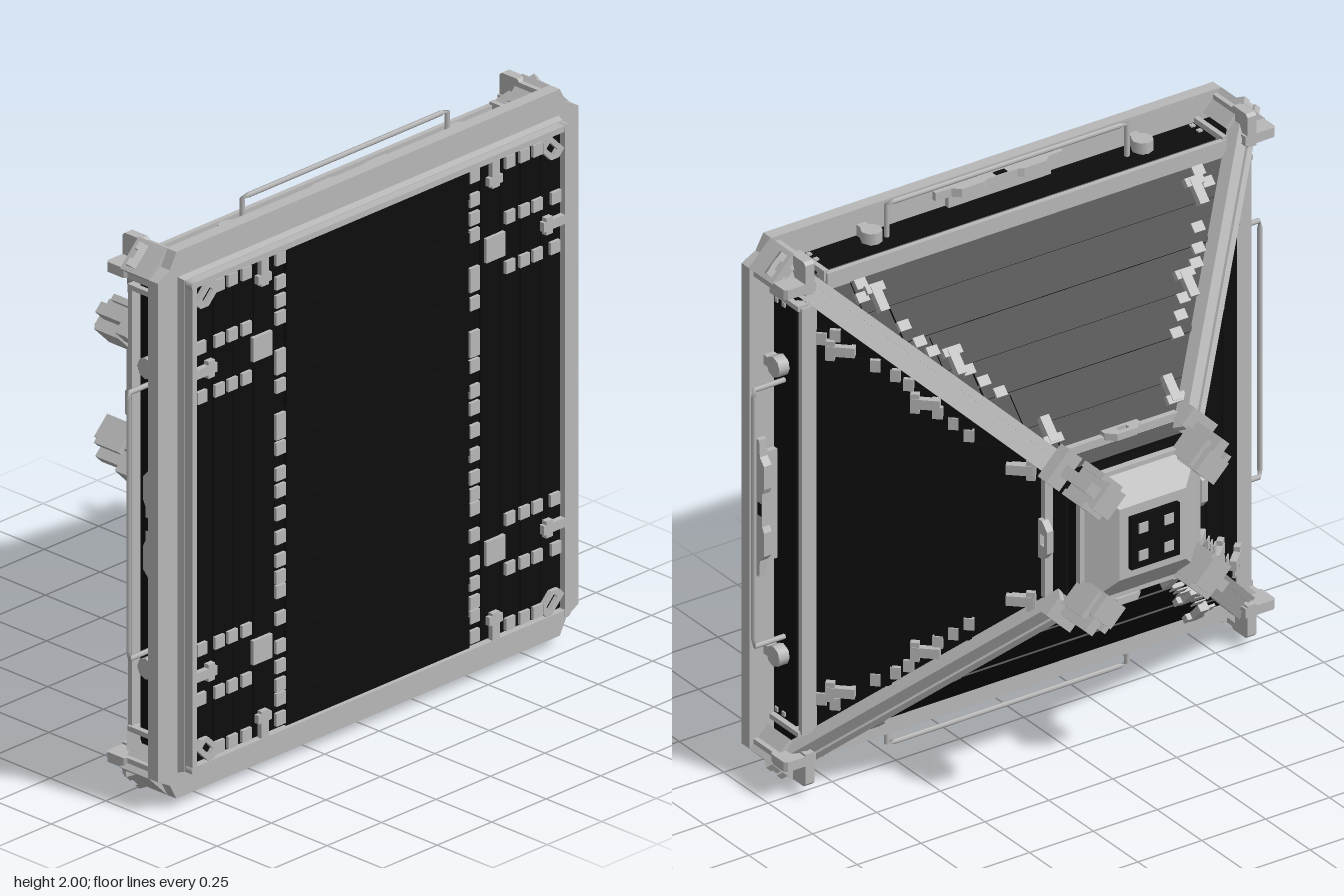
import * as THREE from 'three';

const grey = new THREE.MeshStandardMaterial({ color: 0xb8b8b8 });
grey.name = 'lightGrey';
const black = new THREE.MeshStandardMaterial({ color: 0x0d0d0d });
black.name = 'black';

function add(parent, name, geo, mat, x = 0, y = 0, z = 0) {
  const m = new THREE.Mesh(geo, mat);
  m.name = name;
  m.position.set(x, y, z);
  parent.add(m);
  return m;
}
const box = (w, h, d) => new THREE.BoxGeometry(w, h, d);

// Square frustum along z, half widths at the back and front
function frustum(hBack, hFront, zBack, zFront) {
  const g = new THREE.CylinderGeometry(hFront * Math.SQRT2, hBack * Math.SQRT2, zFront - zBack, 4)
    .rotateY(Math.PI / 4).rotateX(Math.PI / 2).translate(0, 0, (zBack + zFront) / 2).toNonIndexed();
  g.computeVertexNormals();
  return g;
}
// Flat plate cut from an outline, with an optional hole
function plate(points, depth, hole) {
  const s = new THREE.Shape(points.map(p => new THREE.Vector2(...p)));
  if (hole) s.holes.push(new THREE.Path(hole.map(p => new THREE.Vector2(...p))));
  return new THREE.ExtrudeGeometry(s, { depth, bevelEnabled: false });
}
const square = h => [[-h, -h], [h, -h], [h, h], [-h, h]];
const mirrored = half => [...half, ...half.slice().reverse().map(([x, y]) => [-x, y])];

function rod(points, r) {
  const path = new THREE.CurvePath();
  const v = points.map(p => new THREE.Vector3(...p));
  for (let i = 1; i < v.length; i++) path.add(new THREE.LineCurve3(v[i - 1], v[i]));
  return new THREE.TubeGeometry(path, 40, r, 6);
}

const slopeHalf = z => 0.57 + 1.05 * z;   // half width of the pyramid at depth z
const tilt = -Math.atan(1.05);
const onSlope = (parent, name, geo, mat, x, z) => {
  const m = add(parent, name, geo, mat, x, slopeHalf(z), z);
  m.rotation.x = tilt;
  return m;
};

// One of four sides, built facing +y
function makeSide() {
  const g = new THREE.Group();
  g.name = 'side';
  add(g, 'frontFlange', plate(mirrored([[0.85, 0.84], [0.91, 0.91], [0.88, 0.965]]), 0.045), grey, 0, 0, 0.405);

  // Slatted sloping panel
  for (let i = 0; i < 6; i++) {
    const z = 0.2 - i * 0.09;
    onSlope(g, 'slopeSlat', box(2 * (slopeHalf(z) - 0.09), i % 2 ? 0.02 : 0.012, 0.122), black, 0, z);
  }
  // Side wall fittings
  add(g, 'handle', rod([[-0.47, 0.87, 0.345], [-0.47, 0.99, 0.345], [0.47, 0.99, 0.345], [0.47, 0.87, 0.345]], 0.009), grey);
  add(g, 'wallRail', box(1.56, 0.06, 0.018), grey, 0, 0.85, 0.242);
  const latch = plate(mirrored([[0.25, 0], [0.25, 0.018], [0.19, 0.022], [0.165, 0.045], [0.08, 0.045], [0.06, 0.035]]), 0.03);
  add(g, 'wallLatch', latch, grey, 0, 0.91, 0.405).rotation.x = -Math.PI / 2;
  add(g, 'wallLatchHole', box(0.045, 0.008, 0.02), black, 0, 0.938, 0.383);
  add(g, 'latchBase', box(0.4, 0.05, 0.02), grey, 0, 0.89, 0.395);

  // Collar around the narrow end
  add(g, 'collarBar', box(0.44, 0.03, 0.022), grey, 0, 0.285, -0.29);
  const hex = plate(mirrored([[0.07, -0.022], [0.07, 0], [0.04, 0.028]]), 0.025, [[-0.02, -0.01], [0.02, -0.01], [0.02, 0.01], [-0.02, 0.01]]);
  add(g, 'collarLatch', hex, grey, 0, 0.29, -0.305).rotation.x = -Math.PI / 2;

  for (const s of [-1, 1]) {
    add(g, 'railEnd', box(0.018, 0.04, 0.16), grey, s * 0.78, 0.87, 0.32);
    add(g, 'wallKnob', box(0.035, 0.04, 0.09), grey, s * 0.53, 0.89, 0.365);
    add(g, 'wallKnobHead', new THREE.CylinderGeometry(0.037, 0.037, 0.04, 8), grey, s * 0.53, 0.895, 0.345);
    for (const z of [0.34, 0.38]) add(g, 'wallMark', box(0.016, 0.006, 0.016), grey, s * 0.75, 0.877, z);

    // Corner fin
    const fin = plate([[0.21, 0.84], [0.41, 0.84], [0.41, 0.95], [0.3, 0.95], [0.29, 0.96], [0.22, 0.96], [0.21, 0.95]], 0.035);
    const f = add(g, 'cornerFin', fin, grey, s * 0.865 + 0.0175, 0, 0);
    f.rotation.y = -Math.PI / 2;

    // Clamps and marks along the sloping edges
    for (const [x, z] of [[0.24, -0.22], [0.455, -0.01], [0.625, 0.18]]) {
      onSlope(g, 'slopeClampStem', box(0.035, 0.06, 0.09), grey, s * x, z);
      onSlope(g, 'slopeClampFoot', box(0.07, 0.055, 0.03), grey, s * x, z + (z < -0.1 ? -0.025 : 0.025));
    }
    for (const [x, z] of [[0.345, -0.105], [0.385, -0.07], [0.42, -0.035], [0.515, 0.03], [0.545, 0.06], [0.575, 0.105], [0.675, 0.195], [0.66, 0.225]])
      onSlope(g, 'slopeMark', box(0.043, 0.03, 0.034), grey, s * x, z);
  }
  return g;
}

// Double beam along one sloping corner edge, with its end fittings
function makeCorner() {
  const g = new THREE.Group();
  g.name = 'corner';
  const diag = z => (slopeHalf(z) + 0.01) * Math.SQRT2;
  const z0 = -0.33, z1 = 0.33;
  const dy = diag(z1) - diag(z0), len = Math.hypot(dy, z1 - z0), ang = -Math.atan2(dy, z1 - z0);
  for (const s of [-1, 1]) {
    add(g, 'edgeBeam', box(0.026, 0.05, len), grey, s * 0.03, (diag(z0) + diag(z1)) / 2, 0).rotation.x = ang;
  }
  add(g, 'beamCore', box(0.045, 0.03, len), grey, 0, (diag(z0) + diag(z1)) / 2, 0).rotation.x = ang;
  add(g, 'beamFoot', box(0.12, 0.1, 0.13), grey, 0, 1.255, 0.345);
  add(g, 'beamHead', box(0.13, 0.07, 0.05), grey, 0, 0.375, -0.335);
  add(g, 'dockArm', box(0.04, 0.06, 0.2), grey, 0, 0.35, -0.4);
  add(g, 'dockBracket', box(0.1, 0.085, 0.15), grey, 0, 0.285, -0.445);
  for (const s of [-1, 1]) add(g, 'bracketCheek', box(0.022, 0.1, 0.11), grey, s * 0.055, 0.3, -0.44);
  return g;
}

// Fittings in one quarter of the front face
function makeFrontQuarter(parent, sx, sy) {
  const z = 0.494;
  const put = (name, w, h, d, x, y, mat = grey) => add(parent, name, box(w, h, d), mat, sx * x, sy * y, z);
  for (const [y, xs] of [[0.815, [0.605, 0.67, 0.73]], [0.62, [0.605, 0.67, 0.73, 0.815]], [0.445, [0.605, 0.67, 0.73, 0.81]]])
    for (const x of xs) put('frontMark', 0.043, 0.043, 0.012, x, y);
  put('frontPad', 0.087, 0.085, 0.016, 0.535, 0.535);
  put('clampStem', 0.033, 0.1, 0.026, 0.53, 0.8);
  put('clampFoot', 0.06, 0.03, 0.026, 0.53, 0.775);
  put('clampStem', 0.1, 0.033, 0.026, 0.8, 0.535);
  put('clampFoot', 0.03, 0.06, 0.026, 0.775, 0.535);
  const lug = plate([[-0.05, -0.005], [-0.025, -0.03], [0.025, -0.03], [0.05, -0.005], [0.05, 0.03], [-0.05, 0.03]], 0.016,
    [[-0.025, -0.012], [0.025, -0.012], [0.025, 0.012], [-0.025, 0.012]]);
  add(parent, 'cornerLug', lug, grey, sx * 0.79, sy * 0.8, z - 0.006).rotation.z = Math.atan2(-sx, sy);
  add(parent, 'rimCap', new THREE.CylinderGeometry(0.016, 0.016, 0.03, 8).rotateX(Math.PI / 2), grey, sx * 0.855, sy * 0.855, 0.495);
}

export function createModel() {
  const model = new THREE.Group();
  model.name = 'pyramidModule';
  const body = new THREE.Group();
  body.name = 'body';
  body.position.y = 1;
  model.add(body);

  // Hull
  add(body, 'hullWall', frustum(0.87, 0.87, 0.28, 0.41), black);
  add(body, 'hullPyramid', frustum(slopeHalf(-0.32), slopeHalf(0.285), -0.32, 0.285), black);
  add(body, 'frontTray', frustum(0.885, 0.868, 0.405, 0.475), grey);
  add(body, 'frontRim', plate(square(0.866), 0.035, square(0.845)), grey, 0, 0, 0.473);

  // Front panel slats: horizontal in the middle, upright at the sides
  add(body, 'frontPanel', box(1.69, 1.69, 0.01), black, 0, 0, 0.477);
  for (let i = 0; i < 15; i++)
    add(body, 'middleSlat', box(0.84, 0.108, 0.014), black, 0, -0.79 + i * 0.113, i % 2 ? 0.484 : 0.487);
  for (const s of [-1, 1])
    for (let i = 0; i < 4; i++)
      add(body, 'sideSlat', box(0.088, 1.68, 0.008), black, s * (0.52 + i * 0.093), 0, i % 2 ? 0.483 : 0.485);

  // Rows of marks beside the middle panel
  const rows = [0.815, 0.73, 0.665, 0.605, 0.47, 0.43, 0.365, 0.245, 0.2, 0.145, 0.055, -0.005, -0.085, -0.17, -0.25, -0.31, -0.36, -0.455, -0.555, -0.625, -0.69, -0.74, -0.81];
  for (const s of [-1, 1])
    for (const y of rows) add(body, 'rowMark', box(0.043, 0.045, 0.012), grey, s * 0.445, y, 0.49);
  for (const sx of [-1, 1]) for (const sy of [-1, 1]) makeFrontQuarter(body, sx, sy);

  // Four sides and four corners
  for (let k = 0; k < 4; k++) {
    const side = makeSide(), corner = makeCorner();
    side.rotation.z = k * Math.PI / 2;
    corner.rotation.z = (k + 0.5) * Math.PI / 2;
    body.add(side, corner);
  }

  // Docking hatch at the back
  add(body, 'hatchNeck', frustum(0.22, 0.22, -0.385, -0.31), black);
  add(body, 'hatchPlate', frustum(0.235, 0.235, -0.405, -0.38), grey);
  add(body, 'hatchTray', frustum(0.13, 0.225, -0.475, -0.4), grey);
  add(body, 'hatchPanel', box(0.19, 0.19, 0.025), black, 0, 0, -0.48);
  for (const x of [-0.05, 0.05])
    for (const y of [-0.05, 0.05]) add(body, 'hatchMark', box(0.036, 0.036, 0.006), grey, x, y, -0.494);
  return model;
}
